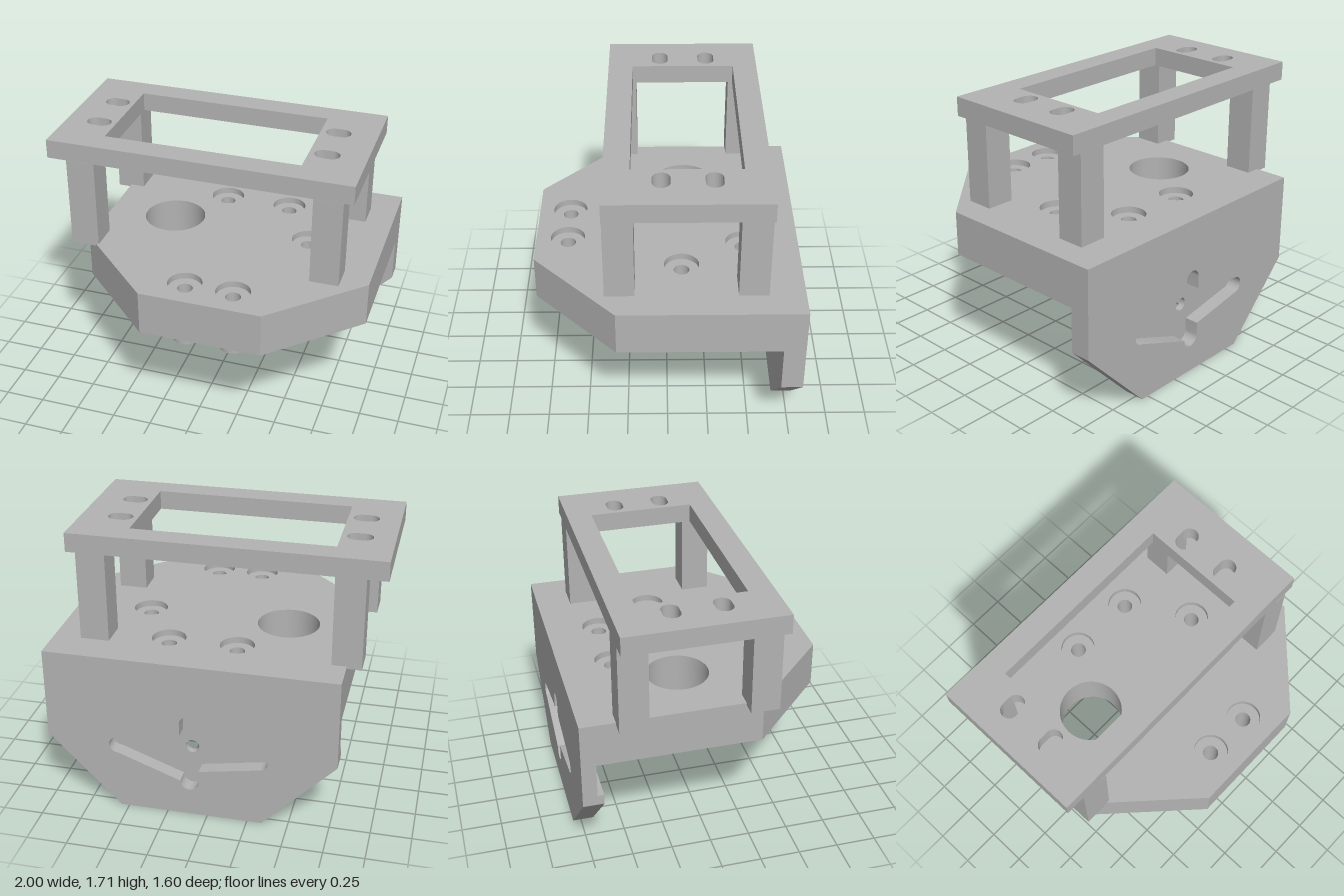
import * as THREE from 'three';
import { toCreasedNormals } from 'three/addons/utils/BufferGeometryUtils.js';

const metal = new THREE.MeshStandardMaterial({ color: 0xb3b3b3 });
metal.name = 'plain grey';

// Polygon, given as [a, b] pairs
const poly = (pts) => new THREE.Shape(pts.map(([a, b]) => new THREE.Vector2(a, b)));

function circle(x, y, r) {
  return new THREE.Shape().absarc(x, y, r, 0, Math.PI * 2, false);
}

function extrude(shape, depth) {
  const g = new THREE.ExtrudeGeometry(shape, { depth, bevelEnabled: false, curveSegments: 24 });
  return toCreasedNormals(g, 0.6);
}

function part(name, geometry) {
  const mesh = new THREE.Mesh(geometry, metal);
  mesh.name = name;
  return mesh;
}

// Horizontal slab: shape coordinates are (x, -z)
function slab(name, shape, y0, y1) {
  return part(name, extrude(shape, y1 - y0).rotateX(-Math.PI / 2).translate(0, y0, 0));
}

// Upright slab: shape coordinates are (x, y)
function panel(name, shape, z0, z1) {
  return part(name, extrude(shape, z1 - z0).translate(0, 0, z0));
}

// Screw positions [x, z, bottom of boss]
const screws = [
  [-0.045, 0.608, 0.635], [0.255, 0.608, 0.635],
  [-0.115, -0.467, 0.645], [0.31, -0.462, 0.645], [0.535, -0.085, 0.645],
];
const HOLE = 0.047, BORE = 0.105, BOSS = 0.083;

// Chamfered base plate, in two layers so that the screw holes are counterbored
function basePlate(group) {
  for (const [name, y0, y1, r] of [['basePlate', 0.75, 0.99, HOLE], ['basePlateTop', 0.99, 1.03, BORE]]) {
    const s = poly([[-0.79, -0.3], [-0.27, -0.8], [0.48, -0.8], [1, -0.3], [1, 0.8], [-0.79, 0.8]]);
    s.holes.push(circle(-0.363, 0.113, 0.193));
    for (const [x, z] of screws) s.holes.push(circle(x, -z, r));
    group.add(slab(name, s, y0, y1));
  }
  // Hollow bosses under the plate
  for (const [x, z, y] of screws) {
    const ring = circle(x, -z, BOSS);
    ring.holes.push(circle(x, -z, HOLE));
    group.add(slab('screwBoss', ring, y, 0.75));
  }
}

// Cross-shaped recess with tapered side arms
function crossPath(cx, cy) {
  const w = 0.058, h = 0.12, t = 0.053, P = Math.PI;
  const p = new THREE.Path();
  p.moveTo(cx + w, cy - h);
  p.absarc(cx + 0.45, cy, t, -P / 2, P / 2, false);
  p.lineTo(cx + w, cy + h);
  p.absarc(cx, cy + 0.2, w, 0, P, false);
  p.lineTo(cx - w, cy + h);
  p.absarc(cx - 0.43, cy, t, P / 2, P * 1.5, false);
  p.lineTo(cx - w, cy - h);
  p.absarc(cx, cy - 0.2, w, P, P * 2, false);
  return p;
}

function backPlate(group) {
  const cx = 0.108, cy = 0.435, mid = -0.71, front = -0.67;
  const outline = (top) => poly([[-0.34, 0], [0.55, 0], [1, 0.465], [1, top], [-0.79, top], [-0.79, 0.465]]);

  // Rear layer holds the recess
  const rear = outline(0.75);
  rear.holes.push(crossPath(cx, cy));
  group.add(panel('backPlateRear', rear, -0.8, mid));

  // Front layer closes it but for a round hole
  const lower = outline(0.53);
  lower.holes.push(circle(cx, cy, 0.043));
  group.add(panel('backPlateFront', lower, mid, front));

  // Upper band has shallow round clearances for the two nearest screws
  const r = 0.237;
  const band = new THREE.Shape();
  band.moveTo(-0.79, -front);
  for (const [x, z] of screws.slice(2, 4)) {
    const a = Math.asin((z - front) / r);
    band.absarc(x, -z, r, Math.PI - a, a, true);
  }
  band.lineTo(1, -front);
  band.lineTo(1, -mid);
  band.lineTo(-0.79, -mid);
  group.add(slab('backPlateBand', band, 0.53, 0.75));
}

// Raised frame with a window, four slots and four legs
function topFrame(group) {
  const s = poly([[-1, -0.367], [0.89, -0.367], [0.89, 0.588], [-1, 0.588]]);
  s.holes.push(poly([[-0.683, -0.212], [0.54, -0.212], [0.54, 0.435], [-0.683, 0.435]]));
  for (const x of [-0.793, 0.65]) {
    for (const z of [-0.262, 0.036]) {
      const slot = new THREE.Path();
      slot.absarc(x + 0.025, -z, 0.052, -Math.PI / 2, Math.PI / 2, false);
      slot.absarc(x - 0.025, -z, 0.052, Math.PI / 2, Math.PI * 1.5, false);
      s.holes.push(slot);
    }
  }
  group.add(slab('topFrame', s, 1.59, 1.708));

  for (const x of [-0.788, 0.741]) {
    for (const z of [0.28, -0.497]) {
      const leg = part('leg', new THREE.BoxGeometry(0.178, 0.575, 0.176));
      leg.position.set(x, 1.3025, z);
      group.add(leg);
    }
  }
}

export function createModel() {
  const group = new THREE.Group();
  group.name = 'mountingBracket';
  basePlate(group);
  backPlate(group);
  topFrame(group);
  return group;
}
